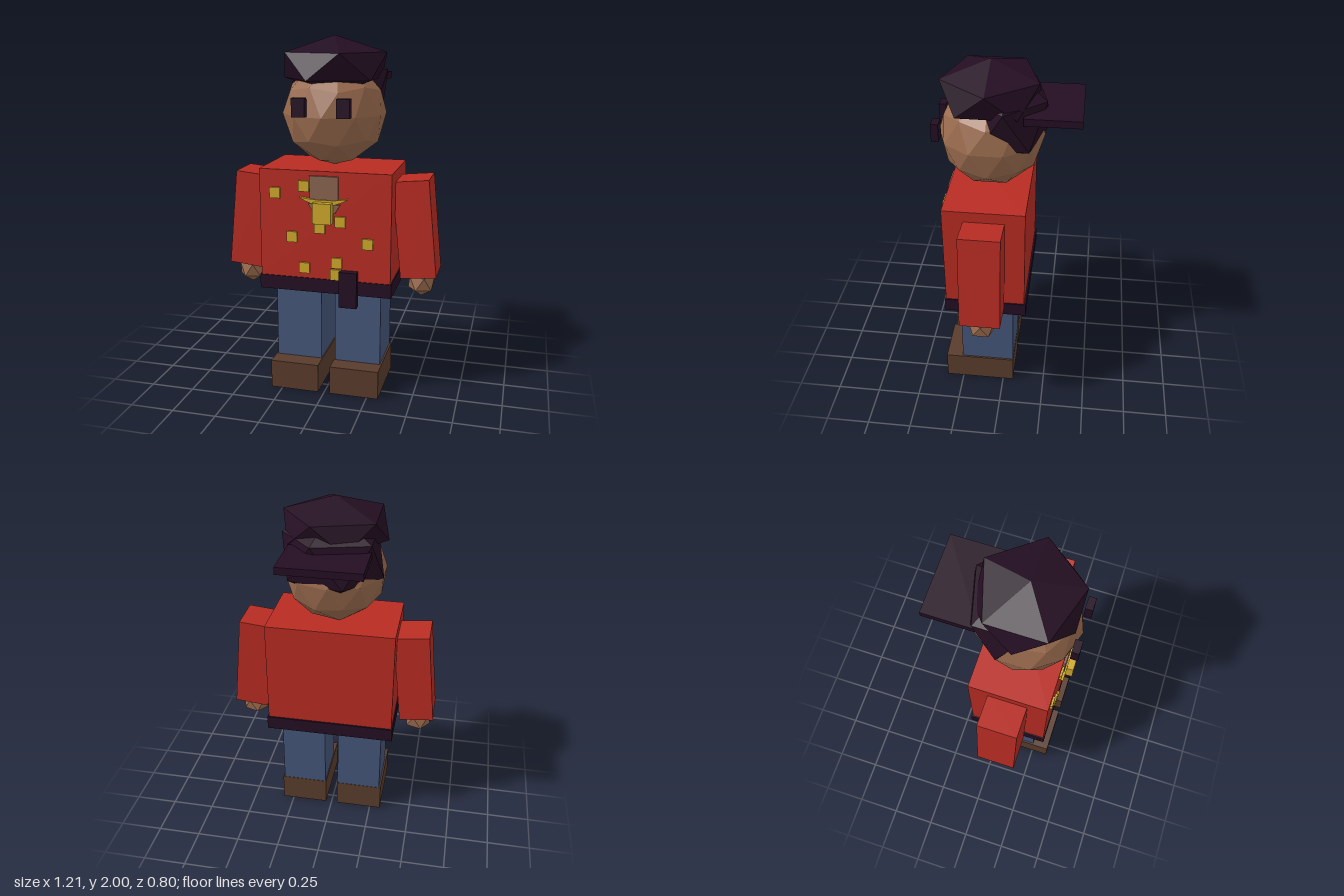
import * as THREE from 'three';

const mat = (name, color, flat = true) => {
  const m = new THREE.MeshStandardMaterial({ color, flatShading: flat });
  m.name = name;
  return m;
};

export function createModel() {
  const root = new THREE.Group();
  root.name = 'figure';
  const red = mat('shirtRed', 0xb82c23);
  const dark = mat('darkPlum', 0x240e22);
  const skin = mat('skin', 0x9a6b4e);
  const denim = mat('denim', 0x455679);
  const leather = mat('shoeBrown', 0x593b2c);
  const gold = mat('gold', 0xcea82c);
  const tan = mat('emblemTan', 0x8a6450);

  const add = (name, geo, material) => {
    const mesh = new THREE.Mesh(geo, material);
    mesh.name = name;
    root.add(mesh);
    return mesh;
  };

  // Box given by its limits on each axis
  const box = (name, material, [x0, x1], [y0, y1], [z0, z1]) => {
    const mesh = add(name, new THREE.BoxGeometry(x1 - x0, y1 - y0, z1 - z0), material);
    mesh.position.set((x0 + x1) / 2, (y0 + y1) / 2, (z0 + z1) / 2);
    return mesh;
  };

  // Faceted ball standing on one of its corners
  const ball = (name, material, detail, radii, position) => {
    const geo = new THREE.IcosahedronGeometry(1, detail);
    geo.rotateZ(-Math.atan(2 / (1 + Math.sqrt(5))));
    geo.scale(...radii);
    const mesh = add(name, geo, material);
    mesh.position.set(...position);
    return mesh;
  };

  // Torso and belt
  box('torso', red, [-0.37, 0.37], [0.68, 1.29], [-0.13, 0.32]);
  box('belt', dark, [-0.377, 0.377], [0.6, 0.68], [-0.14, 0.325]);
  box('beltStrap', dark, [0.09, 0.19], [0.535, 0.74], [0.32, 0.36]);

  // Limbs, mirrored
  for (const [side, s] of [['left', 1], ['right', -1]]) {
    const span = (a, b) => (s > 0 ? [a, b] : [-b, -a]);
    box(side + 'Leg', denim, span(0.04, 0.305), [0.15, 0.6], [-0.06, 0.25]);
    box(side + 'Shoe', leather, span(0.035, 0.315), [0, 0.165], [-0.062, 0.35]);
    const arm = add(side + 'Arm', new THREE.BoxGeometry(0.2, 0.55, 0.225), red);
    arm.position.set(s * 0.478, 0.9625, 0.0925);
    arm.rotation.z = s * 0.1;
    ball(side + 'Hand', skin, 0, [0.085, 0.085, 0.085], [s * 0.51, 0.635, 0.093]);
    box(side + 'Eye', dark, span(0.085, 0.157), [1.585, 1.685], [0.355, 0.396]);
  }

  // Head
  ball('head', skin, 1, [0.29, 0.29, 0.29], [0, 1.58, 0.09]);

  // Backward cap: crown, back shell and brim
  ball('capCrown', dark, 0, [0.325, 0.16, 0.306], [0, 1.84, 0.09]);
  ball('capBack', dark, 0, [0.313, 0.257, 0.25], [0, 1.7, 0]);
  box('capBrim', dark, [-0.225, 0.225], [1.74, 1.78], [-0.4, -0.1]);

  // Scattered gold squares on the chest
  const squares = [
    [-0.28, 1.16], [-0.115, 1.205], [-0.185, 0.915], [-0.025, 0.975], [0.09, 1.015],
    [0.243, 0.9], [-0.115, 0.74], [0.07, 0.78], [0.065, 0.713],
  ];
  squares.forEach(([x, y]) =>
    box('goldSquare', gold, [x - 0.03, x + 0.03], [y - 0.03, y + 0.03], [0.315, 0.332]));

  // Chest emblem: tan block, swept gold crescent, small tapered plate and gold drop
  box('emblemBlock', tan, [-0.08, 0.08], [1.135, 1.265], [0.315, 0.334]);
  const plate = new THREE.Shape();
  plate.moveTo(-0.09, 1.11).lineTo(-0.06, 1.06).lineTo(0.06, 1.06).lineTo(0.09, 1.11);
  add('emblemPlate', new THREE.ExtrudeGeometry(plate, { depth: 0.015, bevelEnabled: false }), tan)
    .position.z = 0.315;
  const crescent = new THREE.Shape();
  crescent.moveTo(-0.137, 1.146);
  crescent.quadraticCurveTo(0, 1.06, 0.137, 1.146);
  crescent.quadraticCurveTo(0, 1.125, -0.137, 1.146);
  add('emblemCrescent', new THREE.ExtrudeGeometry(crescent, { depth: 0.028, bevelEnabled: false, curveSegments: 8 }), gold)
    .position.z = 0.315;
  box('emblemDrop', gold, [-0.052, 0.052], [1.01, 1.125], [0.33, 0.38]);

  return root;
}
